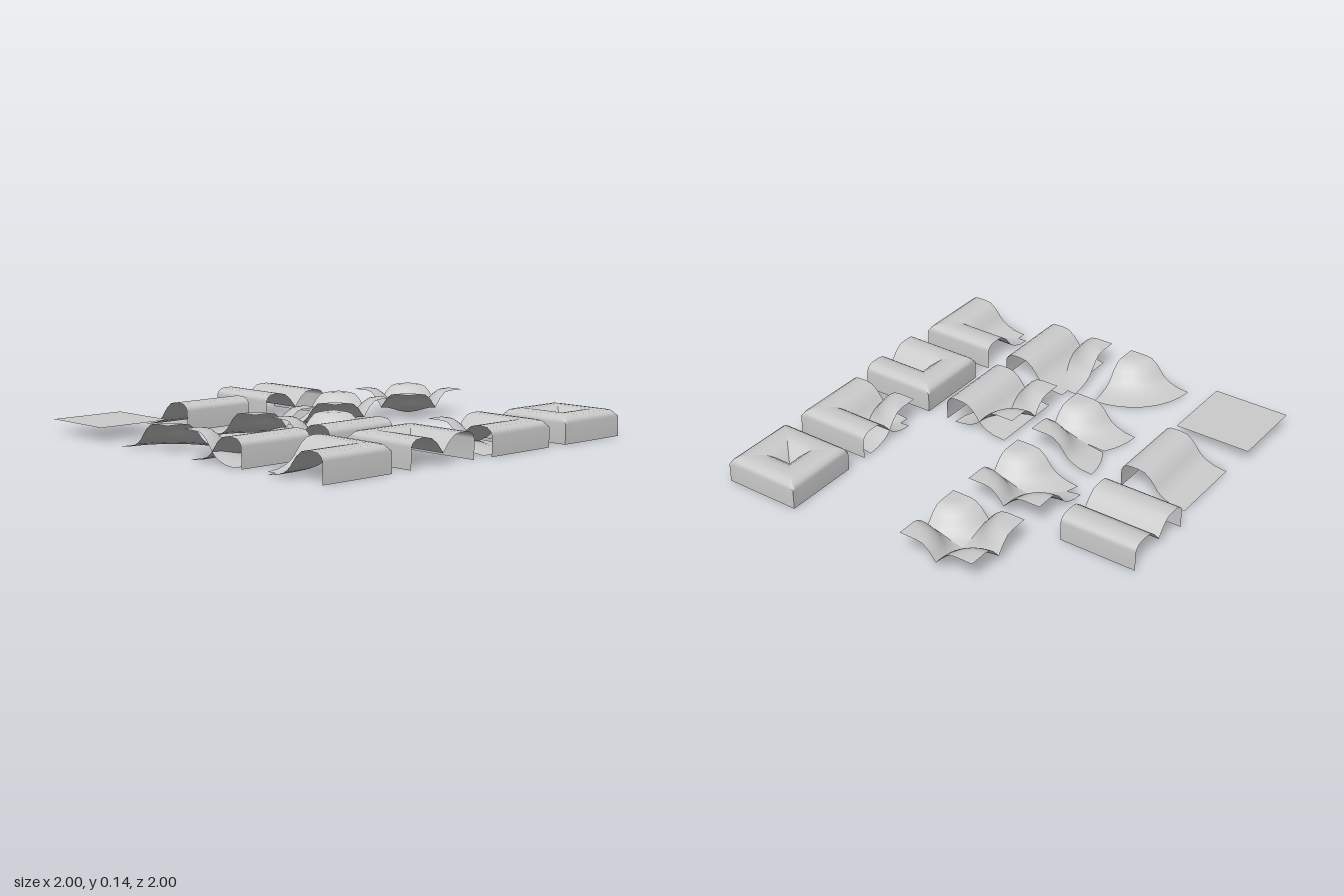
import * as THREE from 'three';

const HALF = 0.205; // half the width of a tile
const material = new THREE.MeshStandardMaterial({ color: 0xcccccc, side: THREE.DoubleSide });

// ridge cross-section: [distance from the wall line, height]
const slope = [[0.06, 0.137], [0.095, 0.137], [0.13, 0.131], [0.165, 0.105], [0.19, 0.075],
  [0.205, 0.055], [0.225, 0.037], [0.25, 0.022], [0.3, 0.006], [0.36, 0]];
const ridgeProfile = [[0, 0], [0, 0.1], [0.01, 0.12], [0.03, 0.134], ...slope];
const moundProfile = [[0, 0.137], [0.03, 0.137], ...slope];

function heightAt(profile, d) {
  for (let i = 1; i < profile.length; i++) {
    const [d0, y0] = profile[i - 1], [d1, y1] = profile[i];
    if (d <= d1 && d1 > d0) return y0 + (y1 - y0) * Math.max(0, d - d0) / (d1 - d0);
  }
  return 0;
}

// distance along a ray until another feature of the same kind is nearer
function reach(origin, dir, rivals) {
  let lo = 0, hi = 0.36;
  const owns = d => rivals.every(f => f(origin[0] + dir[0] * d, origin[1] + dir[1] * d) >= d - 1e-6);
  if (owns(hi)) return hi;
  for (let i = 0; i < 30; i++) {
    const mid = (lo + hi) / 2;
    if (owns(mid)) lo = mid; else hi = mid;
  }
  return lo;
}

// surface swept along a fan or row of rays [origin, direction]
function sweep(name, rays, profile, rivals) {
  const pos = [], index = [], n = profile.length;
  rays.forEach(([o, dir], i) => {
    const limit = reach(o, dir, rivals);
    profile.forEach(([pd, py], j) => {
      const d = Math.min(pd, limit);
      const y = pd <= limit ? py : heightAt(profile, d);
      pos.push(o[0] + dir[0] * d, y, o[1] + dir[1] * d);
      if (i && j) {
        const a = (i - 1) * n + j - 1, b = a + n;
        index.push(a, b, a + 1, b, b + 1, a + 1);
      }
    });
  });
  const geometry = new THREE.BufferGeometry();
  geometry.setAttribute('position', new THREE.Float32BufferAttribute(pos, 3));
  geometry.setIndex(index);
  geometry.computeVertexNormals();
  const mesh = new THREE.Mesh(geometry, material);
  mesh.name = name;
  return mesh;
}

// outward directions (x, z) of walls and corners
const SIDES = { left: [-1, 0], right: [1, 0], back: [0, -1], front: [0, 1] };
const CORNERS = { backLeft: [-1, -1], backRight: [1, -1], frontLeft: [-1, 1], frontRight: [1, 1] };

const wallDistance = ([ox, oz]) => (x, z) => HALF - (x * ox + z * oz);
const cornerDistance = ([sx, sz]) => (x, z) => Math.hypot(x - sx * HALF, z - sz * HALF);

function ridge(side, walls) {
  const [ox, oz] = SIDES[side], dir = [-ox, -oz], rays = [];
  for (let i = 0; i <= 16; i++) {
    const t = (i / 8 - 1) * HALF;
    rays.push([[ox * HALF - dir[1] * t, oz * HALF + dir[0] * t], dir]);
  }
  const rivals = walls.filter(w => w !== side).map(w => wallDistance(SIDES[w]));
  return sweep(side + 'Ridge', rays, ridgeProfile, rivals);
}

function mound(corner, corners) {
  const [sx, sz] = CORNERS[corner], middle = Math.atan2(-sz, -sx), rays = [];
  for (let i = 0; i <= 8; i++) {
    const a = middle + (i / 8 - 0.5) * Math.PI / 2;
    rays.push([[sx * HALF, sz * HALF], [Math.cos(a), Math.sin(a)]]);
  }
  const rivals = corners.filter(c => c !== corner).map(c => cornerDistance(CORNERS[c]));
  return sweep(corner + 'Mound', rays, moundProfile, rivals);
}

// column, row, walls, corner mounds
const TILES = [
  ['straightTile', 1, 0, ['front'], []],
  ['channelTile', 2, 0, ['left', 'right'], []],
  ['oneMoundTile', 0, 1, [], ['frontLeft']],
  ['twoMoundTile', 1, 1, [], ['frontLeft', 'frontRight']],
  ['threeMoundTile', 2, 1, [], ['frontLeft', 'frontRight', 'backRight']],
  ['fourMoundTile', 3, 1, [], ['frontLeft', 'frontRight', 'backRight', 'backLeft']],
  ['straightOneMoundTile', 0, 2, ['front'], ['backLeft']],
  ['straightTwoMoundTile', 1, 2, ['front'], ['backLeft', 'backRight']],
  ['cornerTile', 0, 3, ['front', 'right'], []],
  ['deadEndTile', 1, 3, ['left', 'back', 'right'], []],
  ['cornerMoundTile', 2, 3, ['front', 'right'], ['backLeft']],
  ['enclosedTile', 3, 3, ['left', 'right', 'front', 'back'], []],
];

export function createModel() {
  const model = new THREE.Group();
  model.name = 'terrainTileSet';
  const place = (object, column, row, y = 0) => {
    object.position.set(-0.795 + column * 0.53, y, -0.795 + row * 0.53);
    model.add(object);
  };

  // flat tile
  const flat = new THREE.Mesh(new THREE.PlaneGeometry(2 * HALF, 2 * HALF).rotateX(-Math.PI / 2), material);
  flat.name = 'flatTile';
  place(flat, 0, 0, 0.07);

  // shaped tiles
  for (const [name, column, row, walls, corners] of TILES) {
    const tile = new THREE.Group();
    tile.name = name;
    walls.forEach(w => tile.add(ridge(w, walls)));
    corners.forEach(c => tile.add(mound(c, corners)));
    place(tile, column, row);
  }
  return model;
}
